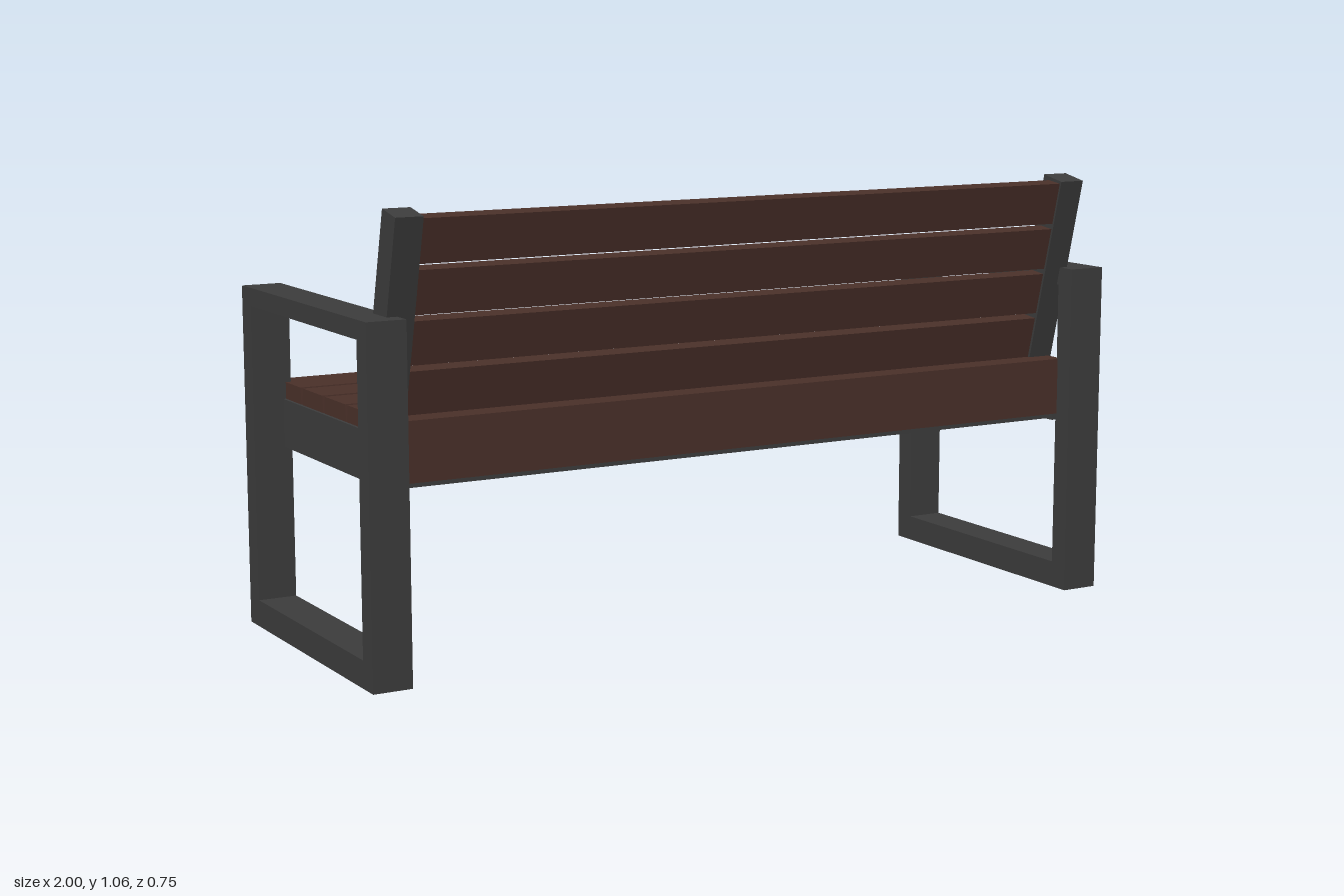
import * as THREE from 'three';

export function createModel() {
  const bench = new THREE.Group();
  bench.name = 'bench';
  const mat = (name, color) => {
    const m = new THREE.MeshStandardMaterial({ color });
    m.name = name;
    return m;
  };
  const metal = mat('darkGreyMetal', 0x3c3c3c);
  const wood = mat('brownWood', 0x4a3029);
  const amber = mat('amberStrip', 0xcaa058);

  // Box given by its min and max corners
  function box(name, material, [x0, y0, z0], [x1, y1, z1]) {
    const mesh = new THREE.Mesh(new THREE.BoxGeometry(x1 - x0, y1 - y0, z1 - z0), material);
    mesh.position.set((x0 + x1) / 2, (y0 + y1) / 2, (z0 + z1) / 2);
    mesh.name = name;
    bench.add(mesh);
  }

  // Solid with a constant z-y outline, running along x from x0 to x1
  function extrudeAlongX(name, material, outline, x0, x1, { hole, parent = bench } = {}) {
    const toPoints = (list) => list.map(([z, y]) => new THREE.Vector2(z, y));
    const shape = new THREE.Shape(toPoints(outline));
    if (hole) shape.holes.push(new THREE.Path(toPoints(hole)));
    const geo = new THREE.ExtrudeGeometry(shape, { depth: x1 - x0, bevelEnabled: false });
    geo.rotateY(-Math.PI / 2);
    geo.translate(x1, 0, 0);
    const mesh = new THREE.Mesh(geo, material);
    mesh.name = name;
    parent.add(mesh);
  }

  // Closed loop frame at each end: legs, foot bar and armrest in one
  function sideFrame(name, x0, x1, chamfer) {
    extrudeAlongX(name, metal, [
      [-0.372, 0], [0.368, 0], [0.368, 0.822],
      [-0.372 + chamfer, 0.822], [-0.372, 0.822 - chamfer * 0.8],
    ], x0, x1, { hole: [[-0.315, 0.065], [-0.315, 0.778], [0.315, 0.778], [0.315, 0.065]] });
  }
  sideFrame('leftSideFrame', 0.905, 1, 0.03);
  sideFrame('rightSideFrame', -1, -0.905, 0.004);

  // Metal ring under the seat: end rails set between the legs, long rails inside
  box('leftEndRail', metal, [0.893, 0.434, -0.316], [0.925, 0.55, 0.316]);
  box('rightEndRail', metal, [-0.925, 0.434, -0.316], [-0.893, 0.55, 0.316]);
  box('frontRail', metal, [-0.895, 0.434, -0.32], [0.895, 0.55, -0.27]);
  box('backRail', metal, [-0.895, 0.434, 0.235], [0.895, 0.55, 0.29]);

  // Wooden boards closing the long sides of the seat
  box('frontFascia', wood, [-0.906, 0.456, -0.372], [0.906, 0.55, -0.318]);
  box('backFascia', wood, [-0.906, 0.45, 0.285], [0.906, 0.55, 0.319]);

  // Seat slats, slightly narrower on top so the gaps taper downwards
  [[-0.372, -0.222], [-0.206, -0.088], [-0.072, 0.047], [0.062, 0.319]].forEach(([z0, z1], i) =>
    extrudeAlongX('seatSlat' + (i + 1), wood, [
      [i ? z0 - 0.005 : z0, 0.55], [i < 3 ? z1 + 0.005 : z1, 0.55], [z1, 0.59], [z0, 0.59],
    ], -0.918, 0.918));

  // Strip light just beneath the front rail
  box('lightStrip', amber, [-0.755, 0.41, -0.314], [0.75, 0.428, -0.299]);

  // Backrest supports, cut level where they meet the seat
  const supportOutline = [[0.186, 0.588], [0.261, 0.588], [0.374, 1.043], [0.305, 1.057]];
  extrudeAlongX('leftSupport', metal, supportOutline, 0.86, 0.927);
  extrudeAlongX('rightSupport', metal, supportOutline, -0.93, -0.863);

  // Leaning back slats between the supports, narrower on the seat side
  const backrest = new THREE.Group();
  backrest.name = 'backrest';
  backrest.position.set(0, 0.59, 0.2225);
  backrest.rotation.x = 0.247;
  bench.add(backrest);
  for (let i = 0; i < 4; i++) {
    const y0 = 0.008 + i * 0.119;
    const y1 = y0 + 0.105;
    extrudeAlongX('backSlat' + (i + 1), wood, [
      [-0.012, y0 + 0.005], [0.031, y0], [0.031, y1], [-0.012, y1 - 0.005],
    ], -0.866, 0.864, { parent: backrest });
  }
  return bench;
}
